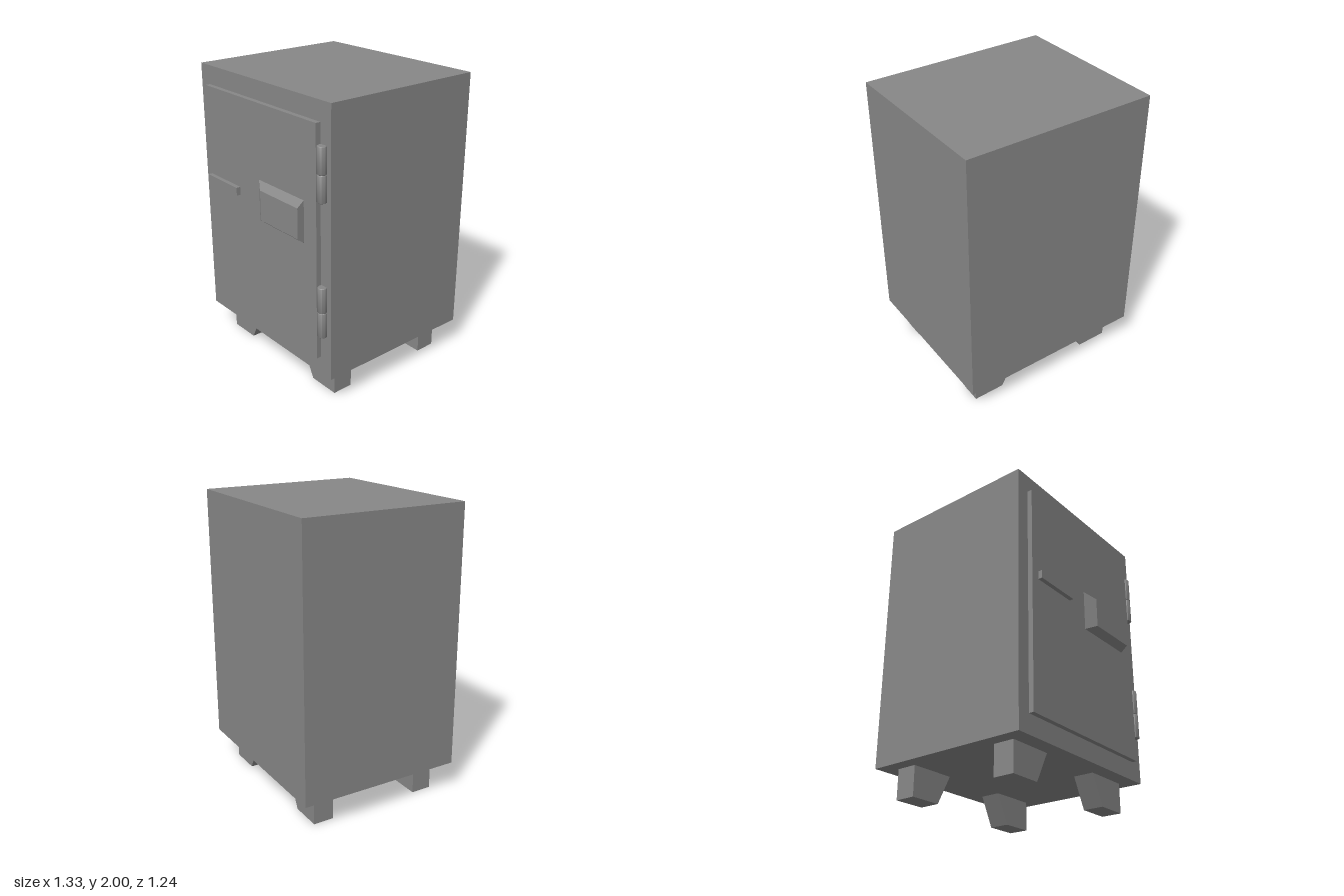
import * as THREE from 'three';
import { toCreasedNormals } from 'three/addons/utils/BufferGeometryUtils.js';

export function createModel() {
  const group = new THREE.Group();
  const material = new THREE.MeshStandardMaterial({ color: 0x878787 });

  const add = (name, geometry) => {
    const mesh = new THREE.Mesh(geometry, material);
    mesh.name = name;
    group.add(mesh);
    return mesh;
  };

  // Box given by its extents along each axis
  const box = (name, [x0, x1], [y0, y1], [z0, z1]) =>
    add(name, new THREE.BoxGeometry(x1 - x0, y1 - y0, z1 - z0))
      .position.set((x0 + x1) / 2, (y0 + y1) / 2, (z0 + z1) / 2);

  box('body', [-0.665, 0.665], [0.202, 2], [-0.618, 0.535]);
  box('door', [-0.571, 0.571], [0.331, 1.873], [0.535, 0.569]);
  box('handle', [-0.53, -0.193], [1.215, 1.27], [0.584, 0.613]);

  // Keypad housing: a box whose front face is drawn in on three sides
  const keypad = new THREE.BoxGeometry(0.453, 0.28, 0.049);
  const p = keypad.attributes.position;
  for (let i = 0; i < p.count; i++) {
    if (p.getZ(i) < 0) continue;
    if (p.getX(i) < 0) p.setX(i, p.getX(i) + 0.077);
    p.setY(i, p.getY(i) - Math.sign(p.getY(i)) * 0.039);
  }
  keypad.computeVertexNormals();
  add('keypad', keypad).position.set(0.2285, 1.233, 0.5935);

  // Hinges: two eight-sided knuckles each, with finely chamfered ends
  const r = 0.031, half = 0.0865, c = 0.003;
  const profile = [
    [0, -half], [r - c, -half], [r, -half + c],
    [r, half - c], [r - c, half], [0, half],
  ].map(([x, y]) => new THREE.Vector2(x, y));
  const knuckle = toCreasedNormals(new THREE.LatheGeometry(profile, 8), 0.8);
  for (const y of [0.674, 1.573]) {
    for (const s of [-1, 1]) {
      add('hingeKnuckle', knuckle).position.set(0.602, y + s * half, 0.55);
    }
  }

  // Feet: trapezoids widening towards the body, with upright outer sides
  for (const side of [-1, 1]) {
    const foot = new THREE.Shape(
      [[0.35, 0], [0.571, 0], [0.571, 0.202], [0.248, 0.202]]
        .map(([x, y]) => new THREE.Vector2(side * x, y)));
    for (const z of [0.28, -0.505]) {
      add('foot', new THREE.ExtrudeGeometry(foot, { depth: 0.143, bevelEnabled: false }))
        .position.z = z;
    }
  }

  return group;
}
